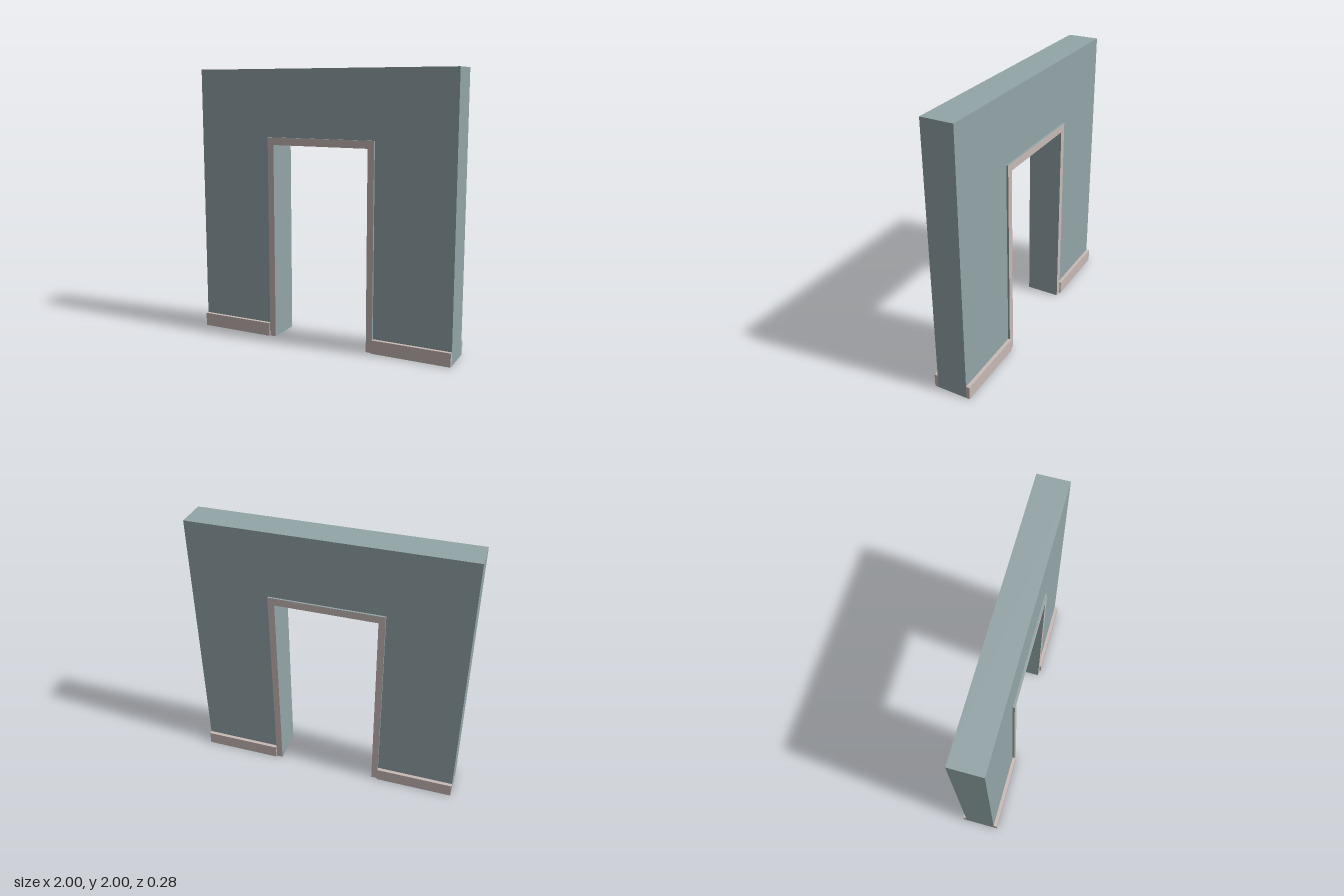
import * as THREE from 'three';

const WALL_Z = 0.115;   // half thickness of the wall
const TRIM_Z = 0.129;   // outer face of the door casing
const BASE_Z = 0.141;   // outer face of the skirting
const OPEN_X = 0.372, OPEN_Y = 1.455;
const CASE_X = 0.42, CASE_Y = 1.51;
const BASE_H = 0.1;

// Upside-down U outline: an outer rectangle with a doorway cut from the floor
function archShape(outerX, outerY, innerX, innerY) {
  return new THREE.Shape([
    [-outerX, 0], [-innerX, 0], [-innerX, innerY], [innerX, innerY],
    [innerX, 0], [outerX, 0], [outerX, outerY], [-outerX, outerY],
  ].map(([x, y]) => new THREE.Vector2(x, y)));
}

function extrude(shape, z0, z1) {
  const geometry = new THREE.ExtrudeGeometry(shape, { depth: z1 - z0, bevelEnabled: false });
  return geometry.translate(0, 0, z0);
}

export function createModel() {
  const group = new THREE.Group();
  const wallMat = new THREE.MeshStandardMaterial({ color: 0x93a5a8 });
  const trimMat = new THREE.MeshStandardMaterial({ color: 0xc9bab6 });

  const add = (name, geometry, material) => {
    const mesh = new THREE.Mesh(geometry, material);
    mesh.name = name;
    group.add(mesh);
    return mesh;
  };

  // Wall with the doorway
  add('wall', extrude(archShape(1, 2, OPEN_X, OPEN_Y), -WALL_Z, WALL_Z), wallMat);

  for (const [face, s] of [['front', 1], ['back', -1]]) {
    // Door casing: light face, wall-coloured edges
    const z0 = s > 0 ? WALL_Z : -TRIM_Z;
    const casing = extrude(archShape(CASE_X, CASE_Y, OPEN_X, OPEN_Y), z0, z0 + TRIM_Z - WALL_Z);
    add(`${face}DoorCasing`, casing, [trimMat, wallMat]);

    // Skirting boards on both sides of the doorway, underside matching the wall
    for (const [side, d] of [['Left', 1], ['Right', -1]]) {
      const board = new THREE.BoxGeometry(1 - CASE_X, BASE_H, BASE_Z - WALL_Z);
      const mats = [trimMat, trimMat, trimMat, wallMat, trimMat, trimMat];
      add(`${face}${side}Skirting`, board, mats)
        .position.set(d * (1 + CASE_X) / 2, BASE_H / 2, s * (WALL_Z + BASE_Z) / 2);
    }
  }
  return group;
}
